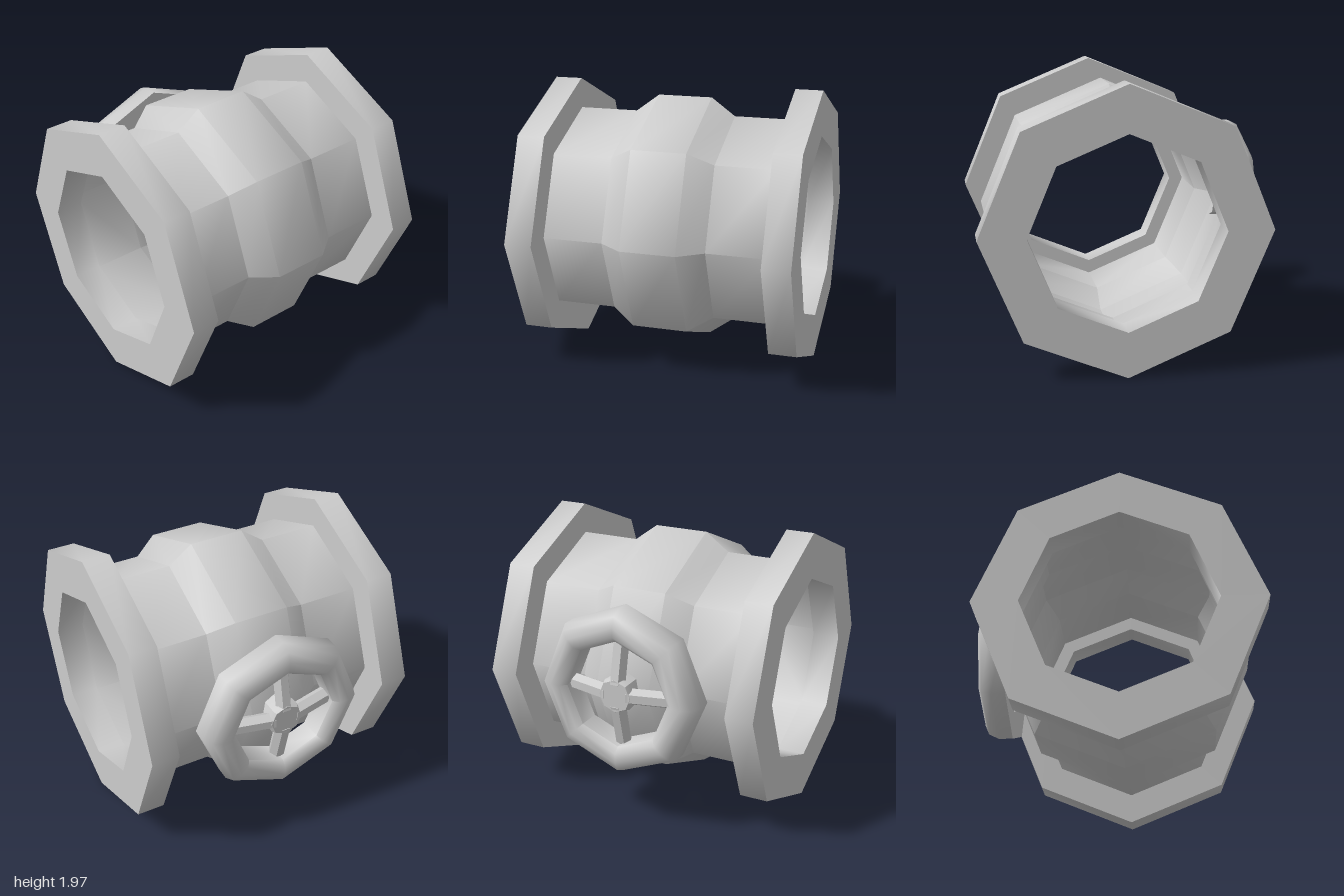
import * as THREE from 'three';
import { toCreasedNormals } from 'three/addons/utils/BufferGeometryUtils.js';

const SIDES = 8;
const CENTER_Y = 0.985;

// Eight-sided turned part; profile points are [radius, height along the axis]
function turned(name, profile, material, crease = 0.9) {
  const points = profile.map(([r, h]) => new THREE.Vector2(r, h));
  const geometry = toCreasedNormals(new THREE.LatheGeometry(points, SIDES), crease);
  const mesh = new THREE.Mesh(geometry, material);
  mesh.name = name;
  return mesh;
}

export function createModel() {
  const model = new THREE.Group();
  model.name = 'pipeValve';
  const grey = new THREE.MeshStandardMaterial({ color: 0xcccccc });
  const thinGrey = new THREE.MeshStandardMaterial({ color: 0xcccccc, side: THREE.DoubleSide });

  // Pipe assembly is turned about y, then laid along x
  const pipe = new THREE.Group();
  pipe.name = 'pipe';
  pipe.rotation.z = -Math.PI / 2;
  pipe.position.set(0, CENTER_Y, 0.015);
  model.add(pipe);

  // Thin-walled pipe with a swollen valve chamber in the middle
  pipe.add(turned('pipeBody', [
    [0.77, -0.79], [0.77, -0.365], [0.895, -0.195],
    [0.895, 0.195], [0.77, 0.365], [0.77, 0.79],
  ], thinGrey));

  // End flanges
  for (const [name, start] of [['rightFlange', -0.985], ['leftFlange', 0.79]]) {
    const end = start + 0.195;
    pipe.add(turned(name, [
      [0.665, start], [0.985, start], [0.985, end], [0.665, end], [0.665, start],
    ], grey));
  }

  // Handwheel on the back, turned about y and then aimed at -z
  const wheel = new THREE.Group();
  wheel.name = 'handwheel';
  wheel.rotation.x = -Math.PI / 2;
  wheel.position.set(-0.003, CENTER_Y, 0);
  model.add(wheel);

  wheel.add(turned('wheelRim', [
    [0.38, 0.8], [0.59, 0.8], [0.59, 0.9], [0.555, 0.972],
    [0.49, 1.0], [0.42, 1.0], [0.38, 0.96], [0.38, 0.8],
  ], grey));

  // Hub with a flat cap
  wheel.add(turned('wheelHub', [
    [0.12, 0.78], [0.13, 0.95], [0.115, 0.985], [0, 0.985],
  ], grey, 0.6));

  // Four spokes sloping from the hub down to the rim
  const inner = new THREE.Vector3(0.07, 0.94, 0);
  const outer = new THREE.Vector3(0.44, 0.855, 0);
  const along = outer.clone().sub(inner);
  const spokeGeometry = toCreasedNormals(
    new THREE.CylinderGeometry(0.058, 0.058, along.length(), 6), 0.5);
  for (let i = 0; i < 4; i++) {
    const holder = new THREE.Group();
    holder.name = 'spokeHolder';
    holder.rotation.y = i * Math.PI / 2;
    const spoke = new THREE.Mesh(spokeGeometry, grey);
    spoke.name = 'wheelSpoke';
    spoke.position.copy(inner).add(outer).multiplyScalar(0.5);
    spoke.quaternion.setFromUnitVectors(new THREE.Vector3(0, 1, 0), along.clone().normalize());
    holder.add(spoke);
    wheel.add(holder);
  }

  return model;
}
